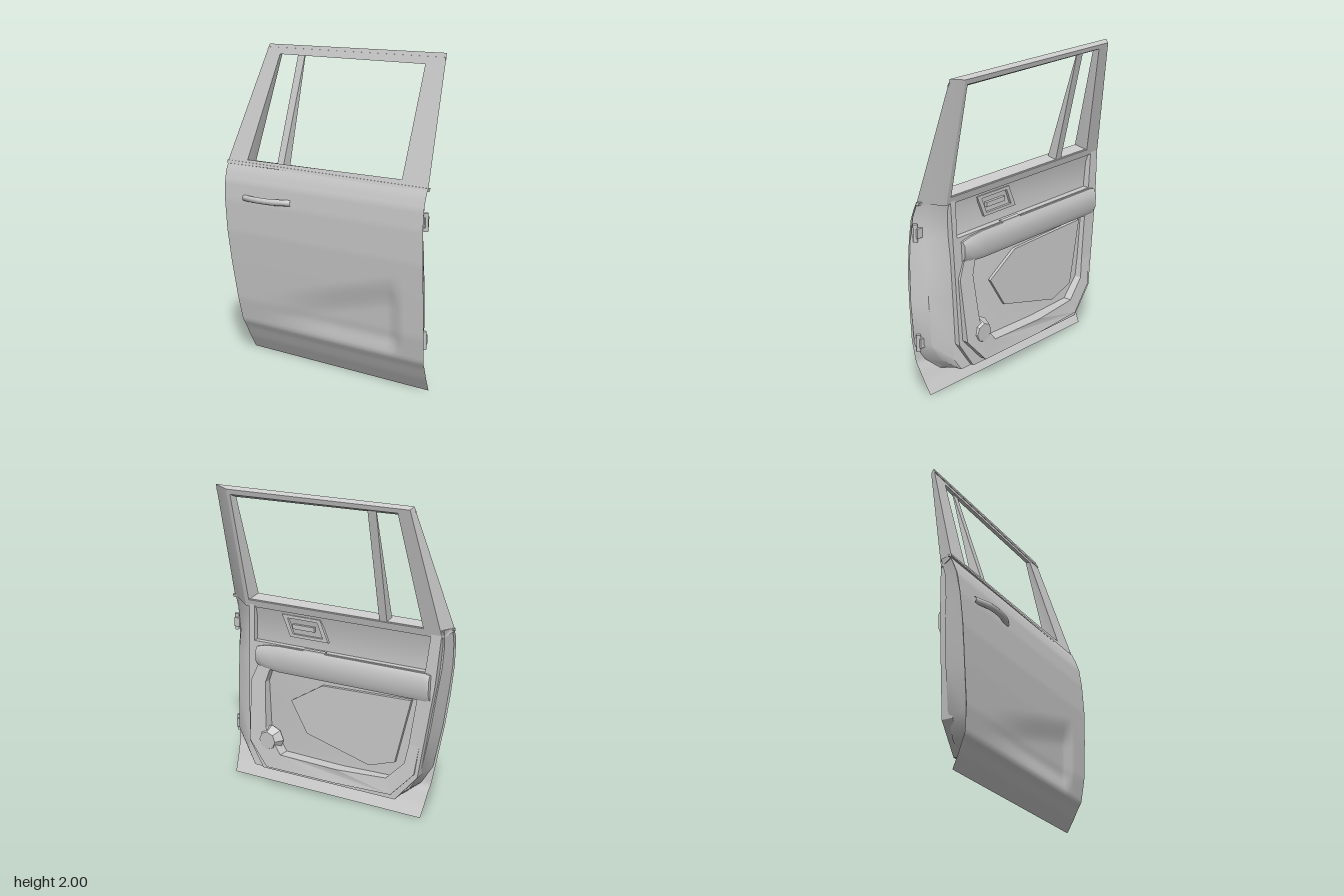
import * as THREE from 'three';
import { toCreasedNormals } from 'three/addons/utils/BufferGeometryUtils.js';

const grey = new THREE.MeshStandardMaterial({ color: 0xcccccc, side: THREE.DoubleSide });

// Interpolate column c of a table whose rows start with y (ascending)
function at(table, y, c) {
  let i = 1;
  while (i < table.length - 1 && table[i][0] < y) i++;
  const a = table[i - 1], b = table[i];
  const t = THREE.MathUtils.clamp((y - a[0]) / (b[0] - a[0]), 0, 1);
  return a[c] + (b[c] - a[c]) * t;
}

// Outer skin outline: y, left x, right x, z
const SKIN = [
  [0, -0.64, 0.765, 0.03], [0.08, -0.65, 0.775, 0.07], [0.17, -0.66, 0.785, 0.108],
  [0.19, -0.665, 0.788, 0.122], [0.35, -0.69, 0.8, 0.143], [0.6, -0.735, 0.802, 0.153],
  [0.8, -0.765, 0.8, 0.158], [1.0, -0.79, 0.79, 0.15], [1.12, -0.8, 0.785, 0.135],
  [1.19, -0.81, 0.782, 0.112], [1.24, -0.81, 0.78, 0.088],
];
// Inner structure: y, left x, right x, recessed inner z
const BODY = [
  [0.12, -0.5, 0.63, -0.03], [0.2, -0.6, 0.72, -0.02], [0.32, -0.672, 0.79, -0.01],
  [0.6, -0.725, 0.795, 0.0], [0.85, -0.76, 0.792, 0.01], [1.0, -0.78, 0.785, 0.025],
  [1.14, -0.792, 0.78, 0.025], [1.25, -0.8, 0.775, 0.0],
];

const smooth = THREE.MathUtils.smoothstep;
function skinZ(x, y) {
  // Shallow scoop under a rising crease, fading out at the edges
  const crease = 0.36 + 0.27 * (x + 0.7);
  const scoop = (1 - smooth(y, crease - 0.2, crease)) * smooth(y, 0.19, 0.32)
    * smooth(x, -0.6, 0.2) * (1 - smooth(x, 0.56, 0.62));
  return at(SKIN, y, 3) + 0.008 * (x - 0.8) - 0.025 * scoop;
}

function mesh(name, geometry, crease = 0.6) {
  const m = new THREE.Mesh(toCreasedNormals(geometry, crease), grey);
  m.name = name;
  return m;
}

function polygon(points) {
  return points.map(([x, y]) => new THREE.Vector2(x, y));
}

// Extruded outline whose back and front follow zBack(y, x) and zFront(y, x)
function slab(name, outline, zBack, zFront, holes = []) {
  const shape = new THREE.Shape(polygon(outline));
  holes.forEach((h) => shape.holes.push(new THREE.Path(polygon(h))));
  const g = new THREE.ExtrudeGeometry(shape, { depth: 1, bevelEnabled: false });
  const p = g.attributes.position;
  for (let i = 0; i < p.count; i++) {
    const x = p.getX(i), y = p.getY(i);
    p.setZ(i, THREE.MathUtils.lerp(zBack(y, x), zFront(y, x), p.getZ(i)));
  }
  return mesh(name, g, 0.3);
}

// Loft through equal-length rings of points, capped at both ends unless it closes on itself
function loft(name, rings, crease, capped = true) {
  const n = rings[0].length, pos = rings.flat(2), idx = [];
  for (let r = 0; r < rings.length - 1; r++) {
    for (let k = 0; k < n; k++) {
      const a = r * n + k, b = r * n + (k + 1) % n;
      idx.push(a, a + n, b, b, a + n, b + n);
    }
  }
  const top = (rings.length - 1) * n;
  for (let k = 1; capped && k < n - 1; k++) idx.push(0, k, k + 1, top, top + k + 1, top + k);
  const g = new THREE.BufferGeometry();
  g.setAttribute('position', new THREE.Float32BufferAttribute(pos, 3));
  g.setIndex(idx);
  g.computeVertexNormals();
  return mesh(name, g, crease);
}

function box(name, w, h, d, x, y, z) {
  const m = mesh(name, new THREE.BoxGeometry(w, h, d));
  m.position.set(x, y, z);
  return m;
}

export function createModel() {
  const door = new THREE.Group();
  door.name = 'door';

  // Outer skin
  const skin = new THREE.PlaneGeometry(1, 1, 32, 62);
  const p = skin.attributes.position;
  for (let i = 0; i < p.count; i++) {
    const y = (p.getY(i) + 0.5) * 1.24;
    const x = THREE.MathUtils.lerp(at(SKIN, y, 1), at(SKIN, y, 2), p.getX(i) + 0.5);
    p.setXYZ(i, x, y, skinZ(x, y));
  }
  door.add(mesh('outerSkin', skin, 0.5));

  // Inner structure: meets the skin at both edges, slanted jamb on the hinge side
  door.add(loft('innerStructure', BODY.map(([y, l, r, z]) => {
    const zo = at(SKIN, y, 3);
    return [[l, y, zo - 0.018], [-0.3, y, zo - 0.045], [Math.min(0.62, r - 0.03), y, zo - 0.04],
      [r, y, zo - 0.006], [r - 0.055, y, z + 0.05], [Math.min(0.61, r - 0.07), y, z - 0.005], [l + 0.02, y, z]];
  }), 0.6));

  // Leaning window frame: each corner runs outer front, inner front, inner back, outer back
  const frameOut = (y) => 0.088 - (y - 1.23) * 0.316;
  const frameIn = (y) => -0.012 - (y - 1.23) * 0.227;
  const corners = [
    [[-0.81, 1.23], [-0.64, 1.265], [-0.65, 1.245], [-0.77, 1.2]],
    [[-0.645, 2], [-0.54, 1.938], [-0.55, 1.955], [-0.632, 1.982]],
    [[0.73, 2], [0.595, 1.93], [0.612, 1.95], [0.635, 1.982]],
    [[0.78, 1.23], [0.585, 1.27], [0.6, 1.245], [0.63, 1.2]],
  ].map((c) => c.map(([x, y], k) => [x, y, k < 2 ? frameOut(y) : frameIn(y)]));
  door.add(loft('windowFrame', [...corners, corners[0]], 0.3, false));
  door.add(slab('windowDivider',
    [[-0.4, 1.25], [-0.348, 1.25], [-0.348, 1.95], [-0.405, 1.95]],
    (y) => frameIn(y) + 0.01, (y) => frameOut(y) - 0.02));
  door.add(slab('beltMoulding',
    [[-0.81, 1.235], [0.78, 1.22], [0.78, 1.24], [-0.81, 1.25]],
    (y) => frameOut(y) - 0.02, (y) => frameOut(y) + 0.004));
  door.add(slab('roofMoulding',
    [[-0.652, 1.965], [0.732, 1.955], [0.73, 1.975], [-0.648, 1.98]],
    (y) => frameOut(y) - 0.004, (y) => frameOut(y) + 0.004));

  // Interior trim rim with an upper and a lower recess
  const trim = (y) => -0.066 + 0.047 * y;
  door.add(slab('trimPanel',
    [[0.48, 0.125], [0.59, 0.3], [0.6, 1.25], [-0.77, 1.25], [-0.74, 0.9], [-0.65, 0.3], [-0.5, 0.125]],
    trim, (y) => trim(y) + 0.07, [
      [[0.56, 0.98], [0.56, 1.225], [-0.7, 1.225], [-0.67, 0.98]],
      [[0.36, 0.24], [0.46, 0.36], [0.48, 0.76], [0.4, 0.84], [-0.63, 0.84], [-0.56, 0.34], [-0.44, 0.24]],
    ]));

  // Raised lower surround, deepest at the bottom hinge-side corner
  door.add(slab('lowerSurround',
    [[0.42, 0.16], [0.56, 0.32], [0.57, 0.72], [0.5, 0.88], [0.4, 0.9], [0.46, 0.72], [0.44, 0.42],
      [0.32, 0.26], [-0.1, 0.25], [-0.44, 0.26], [-0.56, 0.38], [-0.62, 0.7], [-0.68, 0.7],
      [-0.63, 0.32], [-0.48, 0.16], [-0.1, 0.16]],
    (y, x) => -0.11 + 0.11 * (y - 0.16) + 0.03 * smooth(-x, 0, 0.5), (y) => trim(y) + 0.04));

  // Armrest with a rounded cross-section, narrowing to the hinge side
  const arm = [[0.97, 0.02], [0.975, -0.035], [0.94, -0.052], [0.84, -0.052], [0.8, -0.035], [0.79, 0.02]];
  door.add(loft('armrest', [-0.71, -0.68, 0.36, 0.46, 0.53].map((x, i) => {
    const s = [0.9, 1, 1, 0.9, 0.7][i];
    return arm.map(([y, z]) => [x, 0.89 + (y - 0.89) * s, z]);
  }), 0.7));

  // Inner door handle in its recessed bezel
  door.add(slab('handleBezel',
    [[0.02, 1.04], [0.3, 1.04], [0.36, 1.18], [0.08, 1.18]], () => 0.005, () => 0.03,
    [[[0.06, 1.06], [0.28, 1.06], [0.32, 1.16], [0.1, 1.16]]]));
  door.add(box('innerHandle', 0.16, 0.03, 0.02, 0.2, 1.11, 0.012));
  door.add(box('switchPad', 0.16, 0.012, 0.03, 0.1, 0.979, -0.02));

  // Lower insert and speaker cover
  door.add(slab('lowerInsert',
    [[-0.48, 0.36], [-0.3, 0.3], [0.16, 0.42], [0.28, 0.62], [0.05, 0.76], [-0.58, 0.78]],
    (y) => -0.04 + 0.03 * y, () => 0.03));
  const speaker = mesh('speaker', new THREE.CylinderGeometry(0.06, 0.09, 0.06, 8));
  speaker.rotation.x = -Math.PI / 2;
  speaker.position.set(0.42, 0.34, -0.07);
  door.add(speaker);

  // Outer pull handle with a straight grip
  const grip = mesh('outerHandle', new THREE.TubeGeometry(new THREE.CatmullRomCurve3([
    [-0.62, 1.025, 0.13], [-0.56, 1.027, 0.15], [-0.48, 1.03, 0.167], [-0.36, 1.032, 0.167],
    [-0.28, 1.035, 0.15], [-0.23, 1.035, 0.13],
  ].map((v) => new THREE.Vector3(...v))), 24, 0.02, 10), 1);
  door.add(grip);

  // Hinges on the jamb
  for (const y of [1.045, 0.335]) {
    const hinge = new THREE.Group();
    hinge.name = 'hinge';
    hinge.add(box('hingePlate', 0.04, 0.06, 0.05, 0.765, 0, 0.105));
    const pin = mesh('hingePin', new THREE.CylinderGeometry(0.014, 0.014, 0.11, 12));
    pin.position.set(0.78, 0, 0.105);
    hinge.add(pin);
    hinge.position.y = y;
    door.add(hinge);
  }
  return door;
}
